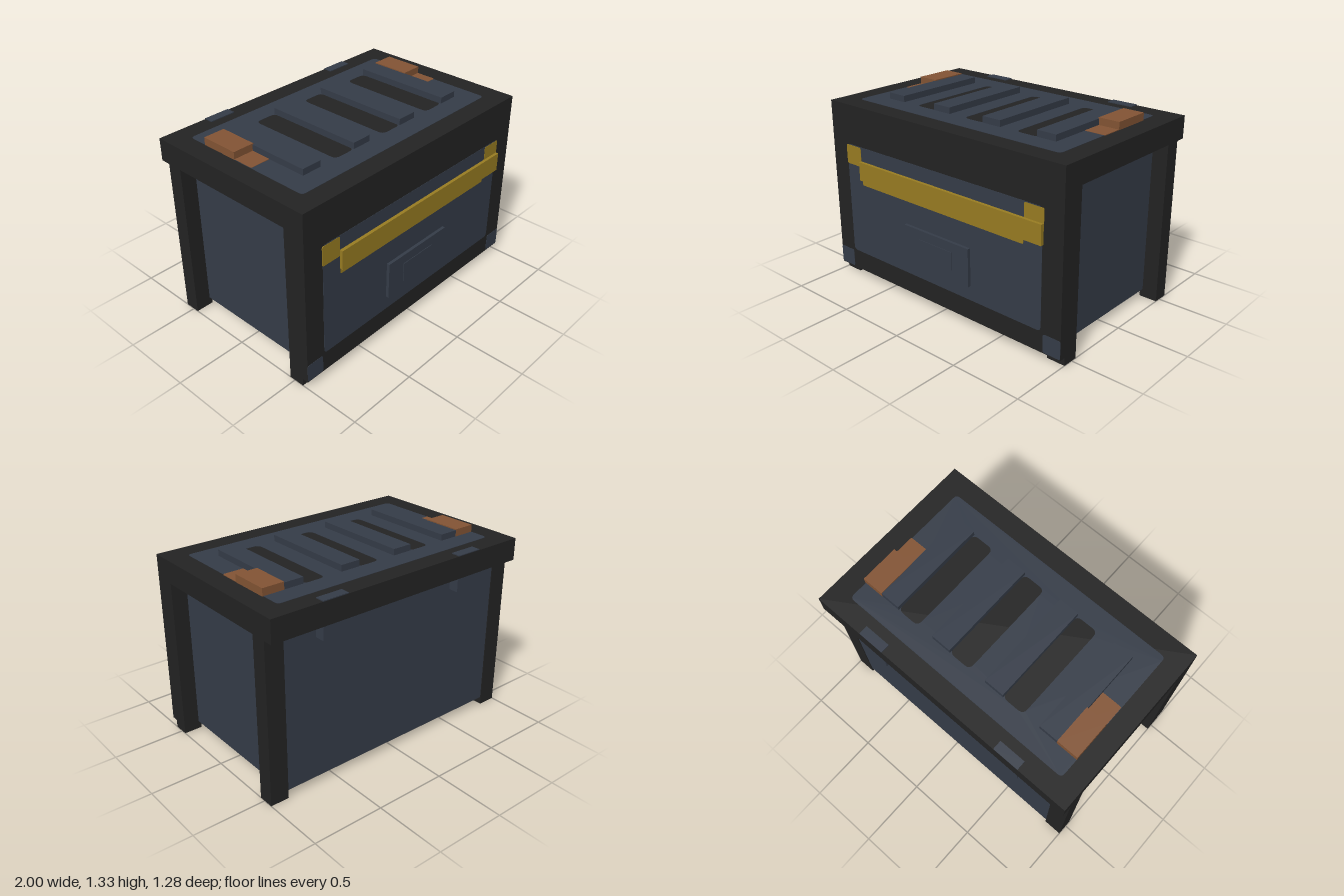
import * as THREE from 'three';

const mat = (name, color) => {
  const m = new THREE.MeshStandardMaterial({ color });
  m.name = name;
  return m;
};

// Rounded rectangle outline, usable as a shape or as a hole
function roundRect(x0, x1, y0, y1, r, Type = THREE.Shape) {
  const s = new Type();
  s.moveTo(x0 + r, y0);
  s.lineTo(x1 - r, y0);
  s.quadraticCurveTo(x1, y0, x1, y0 + r);
  s.lineTo(x1, y1 - r);
  s.quadraticCurveTo(x1, y1, x1 - r, y1);
  s.lineTo(x0 + r, y1);
  s.quadraticCurveTo(x0, y1, x0, y1 - r);
  s.lineTo(x0, y0 + r);
  s.quadraticCurveTo(x0, y0, x0 + r, y0);
  return s;
}

export function createModel() {
  const model = new THREE.Group();
  model.name = 'storageChest';
  const black = mat('charcoal black', 0x232323);
  const slate = mat('slate blue', 0x353c48);
  const yellow = mat('mustard yellow', 0x987c22);
  const copper = mat('copper brown', 0x835434);

  // Box given by its extents
  function box(name, m, x0, x1, y0, y1, z0, z1) {
    const mesh = new THREE.Mesh(new THREE.BoxGeometry(x1 - x0, y1 - y0, z1 - z0), m);
    mesh.position.set((x0 + x1) / 2, (y0 + y1) / 2, (z0 + z1) / 2);
    mesh.name = name;
    model.add(mesh);
    return mesh;
  }

  // Thin painted plate lying on the front face or on the lid
  const FRONT = 0.615, TOP = 1.275;
  function plate(name, m, shape, depth, onTop = false) {
    const g = new THREE.ExtrudeGeometry(shape, { depth, bevelEnabled: false, curveSegments: 4 });
    if (onTop) g.rotateX(-Math.PI / 2).translate(0, TOP, 0);
    else g.translate(0, 0, FRONT);
    const mesh = new THREE.Mesh(g, m);
    mesh.name = name;
    model.add(mesh);
  }

  // Body, front wall and lid
  box('body', slate, -0.89, 0.89, 0.055, 1.12, -0.565, 0.57);
  box('frontWall', black, -1, 1, 0.055, 1.12, 0.57, FRONT);
  box('lid', black, -1, 1, 1.12, TOP, -0.64, FRONT);

  for (const s of [-1, 1]) {
    const side = s > 0 ? 'left' : 'right';
    const span = (a, b) => (s > 0 ? [a, b] : [-b, -a]);
    // Corner posts
    box(side + 'FrontPost', black, ...span(0.87, 1), 0, 1.12, 0.46, 0.57);
    box(side + 'BackPost', black, ...span(0.87, 1), 0, 1.12, -0.57, -0.46);
    // Corner guards and yellow brackets on the front
    plate(side + 'CornerGuard', slate, roundRect(...span(0.868, 1), 0.06, 0.186, 0.015), 0.002);
    plate(side + 'FrontBracket', yellow, roundRect(...span(0.715, 0.86), 0.855, 0.992, 0.012), 0.004);
    // Copper latches with their flat tabs on the lid
    box(side + 'LidLatch', copper, ...span(0.71, 0.862), TOP, 1.327, -0.368, -0.095);
    plate(side + 'LatchTab', copper, roundRect(...span(0.712, 0.86), -0.052, 0.2, 0.012), 0.004, true);
    // Hinges
    box(side + 'HingeTop', slate, ...span(0.455, 0.642), TOP, 1.281, -0.64, -0.575);
    box(side + 'HingeKnuckle', slate, ...span(0.455, 0.642), 1.03, 1.12, -0.64, -0.572);
  }

  // Front panel, handle bar and label plates
  plate('frontPanel', slate, roundRect(-0.855, 0.85, 0.198, 0.997, 0.03), 0.002);
  plate('handleShadowStrip', yellow, roundRect(-0.712, 0.712, 0.725, 0.8, 0.012), 0.004);
  box('handleBar', yellow, -0.715, 0.858, 0.765, 0.897, FRONT, 0.639);
  box('labelPlate', slate, -0.286, 0.286, 0.3, 0.563, FRONT, 0.638);
  box('labelInset', slate, -0.143, 0.143, 0.355, 0.497, 0.638, 0.642);

  // Lid panel with slots, and a raised slat beside each one
  const lidPanel = roundRect(-0.862, 0.855, -0.475, 0.505, 0.03);
  for (const x of [-0.448, -0.02, 0.41]) {
    lidPanel.holes.push(roundRect(x, x + 0.163, -0.332, 0.366, 0.04, THREE.Path));
  }
  plate('lidPanel', slate, lidPanel, 0.002, true);
  for (const x of [-0.717, -0.289, 0.14, 0.571]) {
    box('lidSlat', slate, x, x + 0.143, TOP, 1.32, -0.366, 0.333);
  }

  return model;
}
